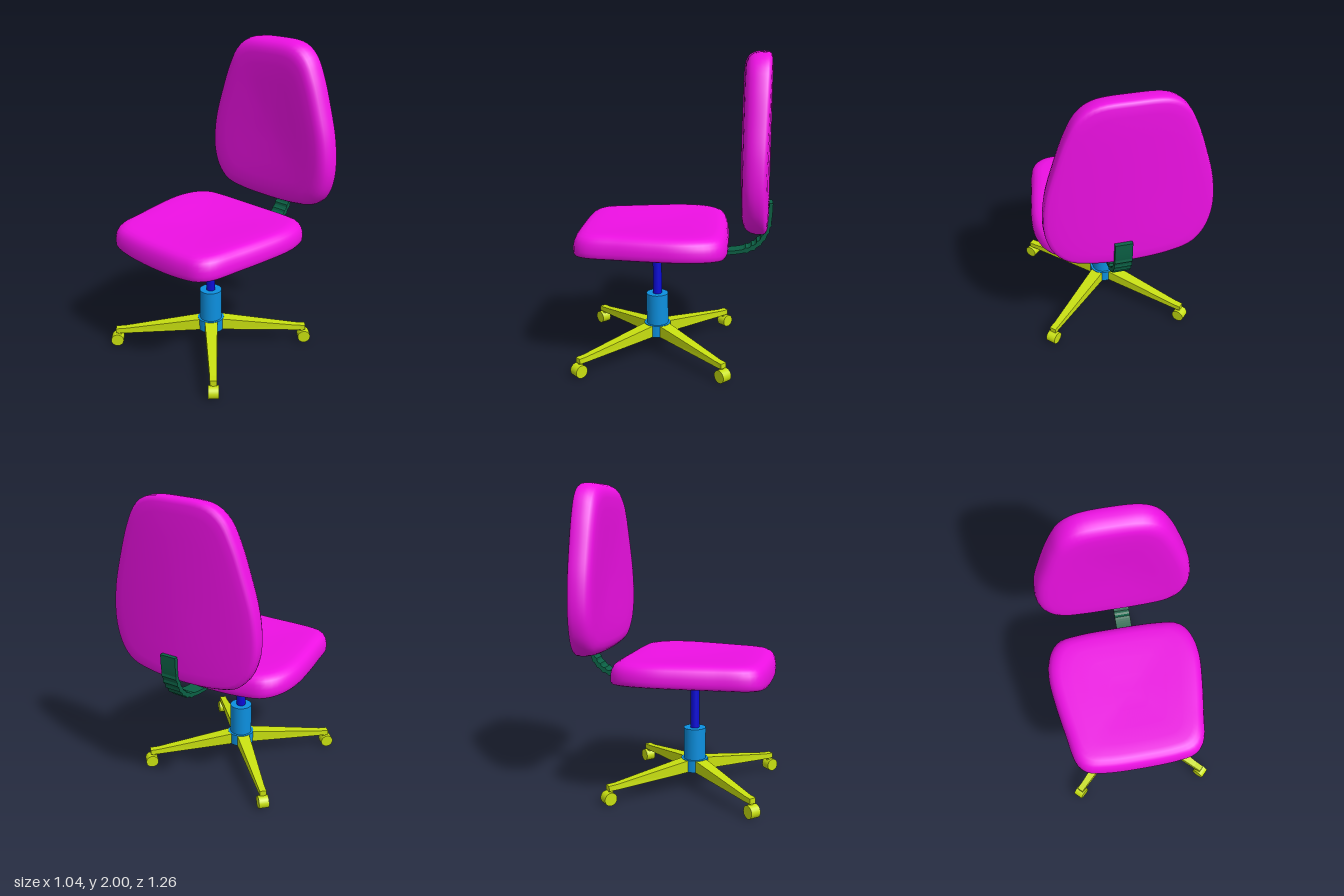
import * as THREE from 'three';
import { mergeVertices } from 'three/addons/utils/BufferGeometryUtils.js';

const paint = (color) => new THREE.MeshStandardMaterial({ color });
const MAGENTA = paint(0xee10e4), GREEN = paint(0x0b6145), NAVY = paint(0x0c0cd8);
const BLUE = paint(0x0c90e0), LIME = paint(0xc8e010);

function part(name, geometry, material, parent) {
  const mesh = new THREE.Mesh(geometry, material);
  mesh.name = name;
  parent.add(mesh);
  return mesh;
}

// Cushion in the xy plane, padded along +z.
// Each ring: outline scale, height, and how much the sides curl up.
const RINGS = [
  [0, 0, 0.15], [0.3, 0, 0.15], [0.6, 0, 0.15], [0.85, 0.001, 0.15], [0.95, 0.005, 0.15],
  [0.985, 0.013, 0.14], [1, 0.027, 0.13], [1.002, 0.05, 0.12], [1, 0.08, 0.1], [0.987, 0.112, 0.08],
  [0.965, 0.135, 0.07], [0.935, 0.152, 0.06], [0.89, 0.164, 0.06], [0.83, 0.17, 0.06],
  [0.7, 0.172, 0.06], [0.5, 0.169, 0.06], [0.25, 0.165, 0.06], [0, 0.163, 0.06],
];

function cushionGeometry(half) {
  const mirrored = half.slice(1, -1).reverse().map(([x, y]) => [-x, y]);
  const points = [...half, ...mirrored].map(([x, y]) => new THREE.Vector3(x, y, 0));
  const count = 96;
  const outline = new THREE.CatmullRomCurve3(points, true).getSpacedPoints(count).slice(0, count);
  const middle = (half[0][1] + half[half.length - 1][1]) / 2;
  const positions = [], index = [];
  RINGS.forEach(([scale, height, curl], j) => {
    outline.forEach((p, i) => {
      const x = p.x * scale;
      positions.push(x, middle + (p.y - middle) * scale, height + curl * x * x);
      if (j === RINGS.length - 1) return;
      const a = j * count + i, b = j * count + (i + 1) % count;
      index.push(a, b, b + count, a, b + count, a + count);
    });
  });
  const geometry = new THREE.BufferGeometry();
  geometry.setAttribute('position', new THREE.Float32BufferAttribute(positions, 3));
  geometry.setIndex(index);
  const merged = mergeVertices(geometry, 1e-5);
  merged.computeVertexNormals();
  return merged;
}

// Flat strap bent from under the seat up behind the backrest, ribbed at the bend
function strapGeometry(width) {
  const curve = new THREE.SplineCurve([
    [0.28, 0.722], [0.4, 0.732], [0.49, 0.755], [0.55, 0.8], [0.59, 0.865], [0.611, 0.95], [0.617, 1.06],
  ].map(([x, y]) => new THREE.Vector2(x, y)));
  const inner = [], outer = [], steps = 36;
  for (let i = 0; i <= steps; i++) {
    const t = i / steps, p = curve.getPointAt(t), d = curve.getTangentAt(t);
    const rib = t > 0.25 && t < 0.78 && i % 3 === 0 ? 0.007 : 0;
    const normal = new THREE.Vector2(-d.y, d.x);
    inner.push(p.clone().addScaledVector(normal, 0.012 + rib));
    outer.push(p.clone().addScaledVector(normal, -0.012 - rib));
  }
  const shape = new THREE.Shape([...outer, ...inner.reverse()]);
  const geometry = new THREE.ExtrudeGeometry(shape, { depth: width, bevelEnabled: false });
  return geometry.rotateY(Math.PI / 2); // profile x runs towards -z, depth along +x
}

// Leg: side profile running outwards, narrowing towards the tip
function legGeometry() {
  const profile = [[0.02, 0.12], [0.08, 0.12], [0.58, 0.092], [0.645, 0.092], [0.645, 0.126],
    [0.59, 0.128], [0.08, 0.198], [0.02, 0.2]];
  const shape = new THREE.Shape(profile.map(([x, y]) => new THREE.Vector2(x, y)));
  const geometry = new THREE.ExtrudeGeometry(shape, { depth: 1, bevelEnabled: false });
  const pos = geometry.attributes.position;
  for (let i = 0; i < pos.count; i++) {
    const halfWidth = THREE.MathUtils.mapLinear(Math.min(pos.getX(i), 0.59), 0.02, 0.59, 0.044, 0.022);
    pos.setZ(i, pos.getZ(i) > 0.5 ? halfWidth : -halfWidth);
  }
  geometry.computeVertexNormals();
  return geometry;
}

export function createModel() {
  const chair = new THREE.Group();
  chair.name = 'officeChair';

  // Cushions
  const seat = part('seat', cushionGeometry([
    [0, -0.63], [0.25, -0.622], [0.36, -0.6], [0.42, -0.54], [0.465, -0.33], [0.5, -0.12],
    [0.517, 0.05], [0.505, 0.17], [0.47, 0.26], [0.41, 0.318], [0.28, 0.343], [0, 0.352],
  ]), MAGENTA, chair);
  seat.rotation.x = -Math.PI / 2;
  seat.position.y = 0.732;

  const backrest = part('backrest', cushionGeometry([
    [0, 0.892], [0.25, 0.905], [0.38, 0.937], [0.455, 1.01], [0.495, 1.11], [0.508, 1.22], [0.49, 1.4],
    [0.435, 1.6], [0.365, 1.8], [0.3, 1.92], [0.21, 1.983], [0, 2],
  ]), MAGENTA, chair);
  backrest.position.z = -0.605;

  // Strap joining seat and backrest
  part('backSupport', strapGeometry(0.108), GREEN, chair);

  // Pedestal
  const base = new THREE.Group();
  base.name = 'base';
  base.position.set(0.011, 0, 0.12);
  chair.add(base);
  const column = (name, radius, bottom, top, material) => {
    const geometry = new THREE.CylinderGeometry(radius, radius, top - bottom, 32);
    part(name, geometry, material, base).position.y = (top + bottom) / 2;
  };
  column('gasLift', 0.03, 0.115, 0.745, NAVY);
  column('sleeve', 0.073, 0.13, 0.408, BLUE);
  column('hub', 0.088, 0.12, 0.2, BLUE);

  // Four legs, each with a caster
  const leg = legGeometry();
  const wheel = new THREE.CylinderGeometry(0.042, 0.042, 0.066, 24).rotateX(Math.PI / 2);
  const stem = new THREE.CylinderGeometry(0.015, 0.015, 0.04, 12);
  for (let i = 0; i < 4; i++) {
    const arm = new THREE.Group();
    arm.name = 'legAssembly';
    arm.rotation.y = Math.PI / 4 + i * Math.PI / 2;
    base.add(arm);
    part('leg', leg, LIME, arm);
    part('casterStem', stem, LIME, arm).position.set(0.625, 0.085, 0);
    part('casterWheel', wheel, LIME, arm).position.set(0.638, 0.042, 0);
  }
  return chair;
}
